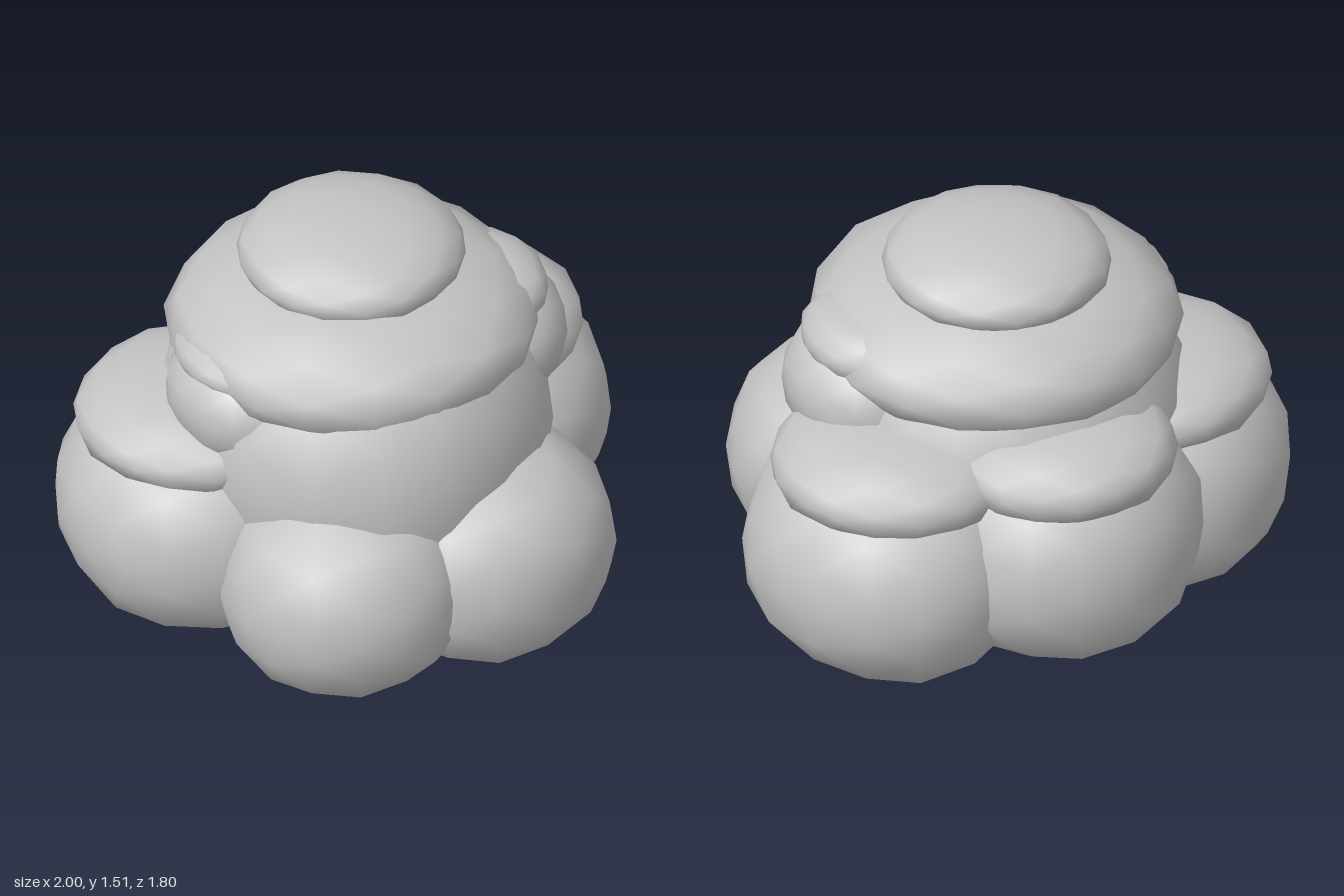
import * as THREE from 'three';
import { mergeVertices } from 'three/addons/utils/BufferGeometryUtils.js';

// Small seeded generator for the irregular surface
let seed = 7;
function rand() {
  seed = (seed * 16807) % 2147483647;
  return seed / 2147483647;
}

// Low-poly, slightly squared-off ellipsoid with uneven, smoothly shaded skin
function lump(radii, rough, power) {
  let g = new THREE.IcosahedronGeometry(1, 2);
  g.deleteAttribute('uv');
  g.deleteAttribute('normal');
  g = mergeVertices(g, 1e-4);
  const p = g.attributes.position;
  for (let i = 0; i < p.count; i++) {
    const x = p.getX(i), y = p.getY(i), z = p.getZ(i);
    const norm = (Math.hypot(x, z) ** power + Math.abs(y) ** power) ** (1 / power);
    const k = (1 + (rand() - 0.5) * 2 * rough) / norm;
    p.setXYZ(i, x * k, y * k, z * k);
  }
  g.scale(...radii);
  g.computeVertexNormals();
  return g;
}

export function createModel() {
  const model = new THREE.Group();
  const grey = new THREE.MeshStandardMaterial({ color: 0xc4c4c4 });
  grey.name = 'grey';

  function add(name, centre, radii, rough = 0.02, power = 2.3) {
    const mesh = new THREE.Mesh(lump(radii, rough, power), grey);
    mesh.name = name;
    mesh.position.set(...centre);
    model.add(mesh);
  }

  // Central mound with its stacked upper layers
  add('core', [0, 0.74, 0.02], [0.66, 0.61, 0.69], 0.015, 2.3);
  add('upperLayer', [0, 1.12, 0], [0.63, 0.26, 0.63], 0.02, 2.05);
  add('crown', [0.01, 1.365, -0.035], [0.39, 0.15, 0.39], 0.01, 2);

  // Ring of five large base lobes
  add('frontLeftLobe', [0.25, 0.395, 0.45], [0.45, 0.395, 0.45]);
  add('frontRightLobe', [-0.26, 0.385, 0.43], [0.43, 0.38, 0.42]);
  add('leftLobe', [0.5, 0.465, -0.17], [0.5, 0.43, 0.52]);
  add('rightLobe', [-0.5, 0.45, -0.15], [0.5, 0.42, 0.51]);
  add('backLobe', [0.01, 0.52, -0.45], [0.49, 0.43, 0.46]);

  // Flattened caps on the side and back lobes
  add('leftCap', [0.48, 0.81, -0.18], [0.44, 0.17, 0.43], 0.015);
  add('rightCap', [-0.5, 0.79, -0.16], [0.43, 0.155, 0.42], 0.015);
  add('backCap', [0.02, 0.86, -0.47], [0.4, 0.16, 0.39], 0.015);

  // Small shoulder lumps and their caps
  add('leftShoulder', [0.44, 0.96, 0.08], [0.29, 0.24, 0.31]);
  add('leftShoulderCap', [0.43, 1.15, 0.07], [0.24, 0.115, 0.27], 0.015);
  add('rightShoulder', [-0.41, 0.97, 0.03], [0.28, 0.22, 0.31]);
  add('rightShoulderCap', [-0.4, 1.12, 0.01], [0.25, 0.1, 0.29], 0.015);

  return model;
}
